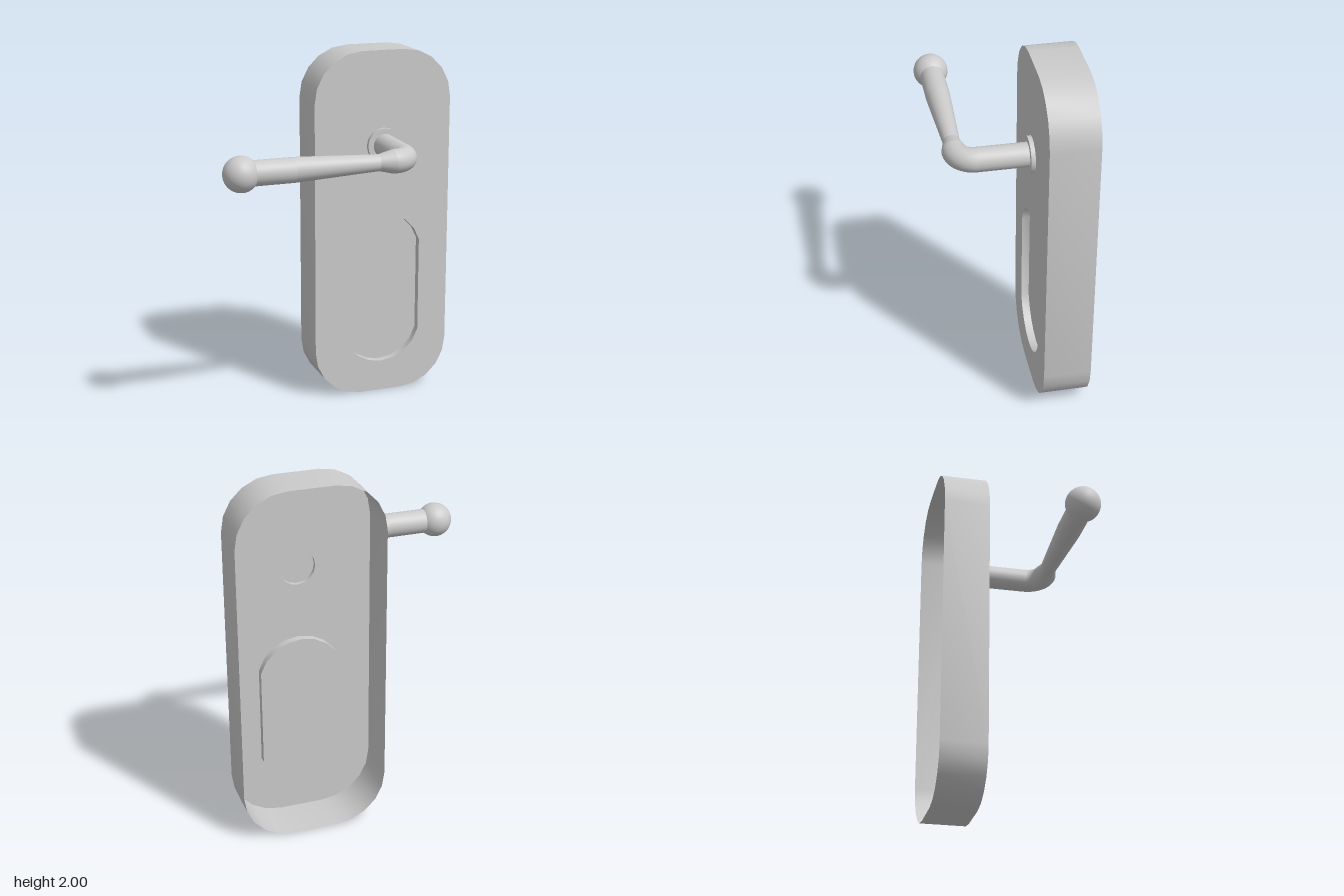
import * as THREE from 'three';
import { toCreasedNormals } from 'three/addons/utils/BufferGeometryUtils.js';

const FRONT = -0.115, BACK = -0.375, RECESS = -0.158, COLLAR = -0.092;
const CX = 0.3135, LEVER_Y = 1.47, LEVER_Z = 0.277;

const thin = new THREE.MeshStandardMaterial({ color: 0xcccccc, side: THREE.DoubleSide });
const solid = new THREE.MeshStandardMaterial({ color: 0xcccccc });

function named(name, geometry, material) {
  const mesh = new THREE.Mesh(geometry, material);
  mesh.name = name;
  return mesh;
}

// Points along an arc, counter-clockwise from a0 to a1
function arc(cx, cy, r, a0, a1, n) {
  return Array.from({ length: n + 1 }, (_, i) => {
    const a = a0 + (a1 - a0) * i / n;
    return new THREE.Vector2(cx + r * Math.cos(a), cy + r * Math.sin(a));
  });
}

// Surface through rings that all have the same number of points
function loft(rings) {
  const n = rings[0].length, index = [];
  for (let j = 0; j < rings.length - 1; j++) {
    for (let i = 0; i < n; i++) {
      const a = j * n + i, b = j * n + (i + 1) % n;
      index.push(a, b, b + n, a, b + n, a + n);
    }
  }
  const g = new THREE.BufferGeometry().setFromPoints(rings.flat());
  g.setIndex(index);
  g.computeVertexNormals();
  return g;
}

// Thin wall following an outline between two depths
function wall(outline, zBack, zFront) {
  const ring = z => outline.map(p => new THREE.Vector3(p.x, p.y, z));
  return toCreasedNormals(loft([ring(zBack), ring(zFront)]), 0.6);
}

function face(outline, z, holes = []) {
  const shape = new THREE.Shape(outline);
  shape.holes = holes.map(h => new THREE.Path(h));
  return new THREE.ShapeGeometry(shape).translate(0, 0, z);
}

// Round section of the lever: centre (x, z), heading from +z (0) to -x (PI / 2)
function section(x, z, heading, r, n = 32) {
  return Array.from({ length: n }, (_, i) => {
    const a = i / n * Math.PI * 2, c = r * Math.cos(a);
    return new THREE.Vector3(x + c * Math.cos(heading), LEVER_Y + r * Math.sin(a), z + c * Math.sin(heading));
  });
}

export function createModel() {
  const model = new THREE.Group();
  model.name = 'leverHandleTrim';

  // Outlines of the plate, the recess and the collar
  const R = 0.28, half = 0.4025, q = Math.PI / 2;
  const plate = [[1, 1], [-1, 1], [-1, -1], [1, -1]].flatMap(([sx, sy], k) =>
    arc(0.3125 + sx * (half - R), 1 + sy * (1 - R), R, k * q, (k + 1) * q, 5));
  const r = 0.2366, tilt = Math.acos(0.2275 / r);
  const recess = [
    ...arc(0.3125, 1.07 - r, r, tilt, Math.PI - tilt, 8),
    ...arc(0.3125, 0.18 + r, r, Math.PI + tilt, 2 * Math.PI - tilt, 8),
  ];
  const collar = arc(CX, LEVER_Y, 0.098, 0, Math.PI * 2, 16).slice(0, -1);

  // Open-backed cover with a pocket and a raised collar
  const cover = new THREE.Group();
  cover.name = 'cover';
  cover.add(
    named('coverFront', face(plate, FRONT, [recess, collar]), thin),
    named('coverRim', wall(plate, BACK, FRONT), thin),
    named('recessWall', wall([...recess].reverse(), RECESS, FRONT), thin),
    named('recessFloor', face(recess, RECESS), thin),
    named('collarWall', wall(collar, FRONT, COLLAR), thin),
    named('collarFace', face(collar, COLLAR), thin),
  );
  model.add(cover);

  // Lever: spindle, bend, neck, grip and end ball
  const rod = 0.0655, bend = 0.1;
  const bendRings = Array.from({ length: 13 }, (_, i) => {
    const a = i / 12 * q;
    return section(CX - bend + bend * Math.cos(a), LEVER_Z - bend + bend * Math.sin(a), a, rod);
  });
  const straight = (x0, r0, x1, r1) => loft([section(x0, LEVER_Z, q, r0), section(x1, LEVER_Z, q, r1)]);
  const lever = new THREE.Group();
  lever.name = 'lever';
  const ball = named('endBall', new THREE.SphereGeometry(0.096, 32, 20), solid);
  ball.position.set(-0.624, LEVER_Y, LEVER_Z);
  lever.add(
    named('spindle', loft([section(CX, COLLAR, 0, rod), bendRings[0]]), solid),
    named('bend', loft(bendRings), solid),
    named('neck', straight(CX - bend, rod, 0.13, 0.045), solid),
    named('gripTaper', straight(0.13, 0.045, -0.34, 0.0675), solid),
    named('gripEnd', straight(-0.34, 0.0675, -0.6, 0.0675), solid),
    ball,
  );
  model.add(lever);
  return model;
}
